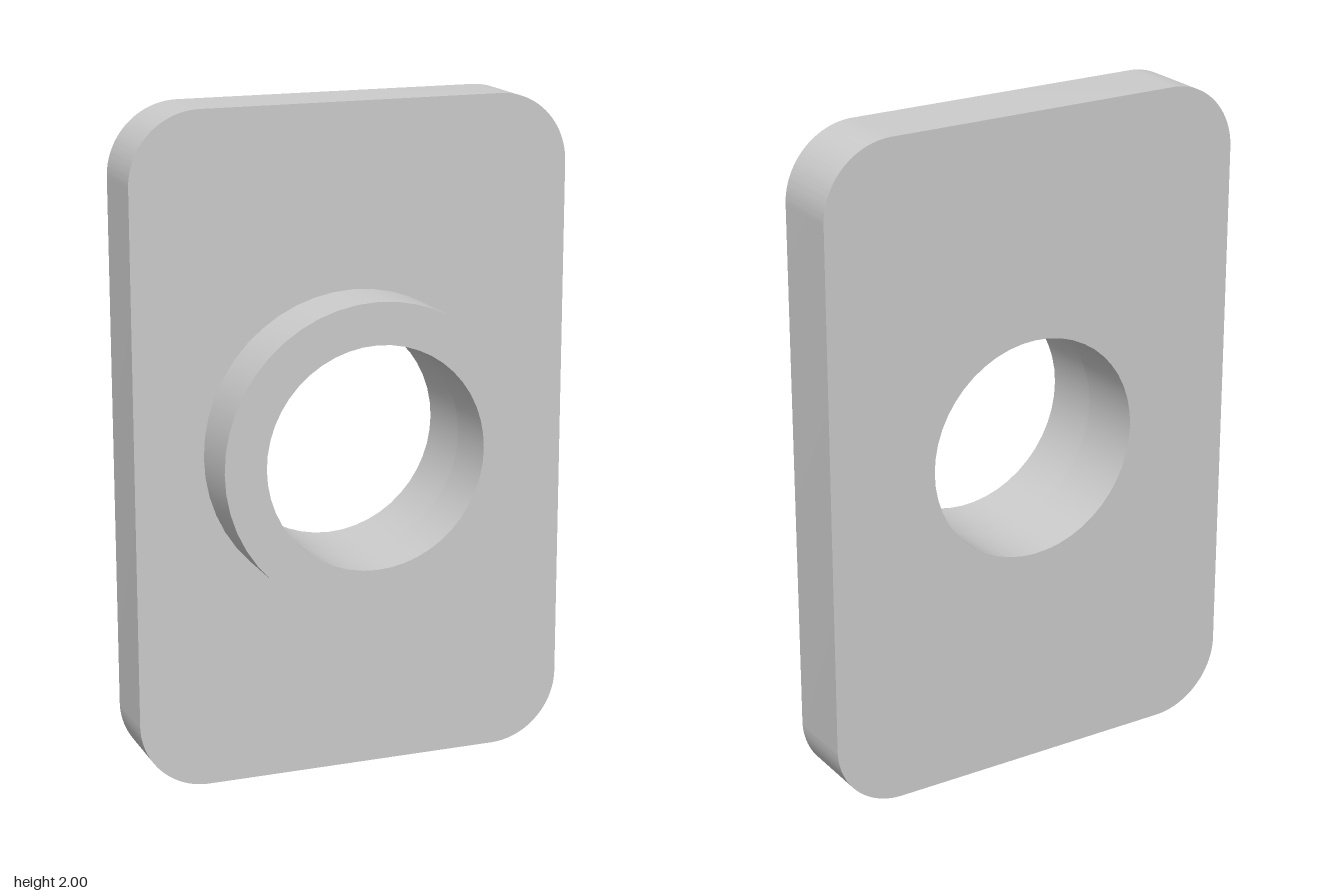
import * as THREE from 'three';
import { toCreasedNormals } from 'three/addons/utils/BufferGeometryUtils.js';

const HALF_W = 0.665, HEIGHT = 2, CORNER = 0.21;
const BACK = -0.2, STEP = 0.012, FRONT = 0.2;
const BORE = 0.333, COLLAR = 0.458, CENTRE_Y = 1;

const material = new THREE.MeshStandardMaterial({ color: 0xcccccc });

// Extrudes an outline with the central bore cut through it, from z0 to z1
function boredPart(name, shape, z0, z1) {
  shape.holes.push(new THREE.Path().absarc(0, CENTRE_Y, BORE, 0, Math.PI * 2, true));
  const geometry = new THREE.ExtrudeGeometry(shape, {
    depth: z1 - z0, bevelEnabled: false, curveSegments: 24,
  });
  geometry.translate(0, 0, z0);
  const mesh = new THREE.Mesh(toCreasedNormals(geometry, 0.6), material);
  mesh.name = name;
  return mesh;
}

// Upright rectangle with rounded corners
function roundedRectangle(halfW, height, r) {
  const s = new THREE.Shape();
  const x = halfW - r, q = Math.PI / 2;
  s.absarc(x, r, r, -q, 0, false);
  s.absarc(x, height - r, r, 0, q, false);
  s.absarc(-x, height - r, r, q, 2 * q, false);
  s.absarc(-x, r, r, 2 * q, 3 * q, false);
  s.closePath();
  return s;
}

export function createModel() {
  const model = new THREE.Group();
  model.name = 'flangePlate';

  // Flat plate at the back
  model.add(boredPart('plate', roundedRectangle(HALF_W, HEIGHT, CORNER), BACK, STEP));

  // Raised ring around the bore at the front
  const disc = new THREE.Shape().absarc(0, CENTRE_Y, COLLAR, 0, Math.PI * 2, false);
  model.add(boredPart('collar', disc, STEP, FRONT));

  return model;
}
